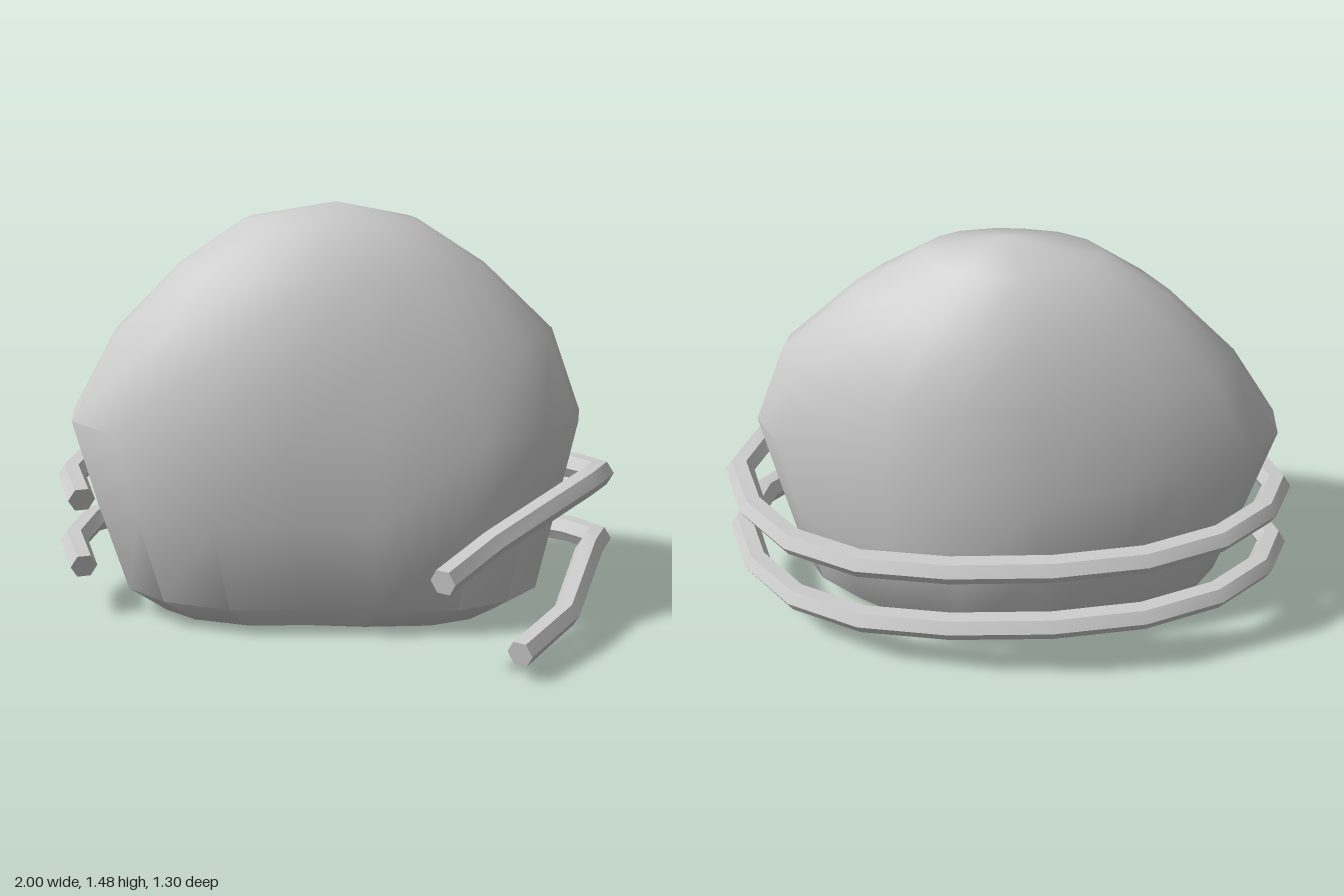
import * as THREE from 'three';
import { toCreasedNormals } from 'three/addons/utils/BufferGeometryUtils.js';

const grey = new THREE.MeshStandardMaterial({ color: 0xcccccc });
grey.name = 'light grey';

// Outline of the boulder in plan, scaled to -1..1 on each side of its axis
const outline = [
  [1, 0], [0.98, 0.38], [0.83, 0.74], [0.59, 0.96], [0.2, 1], [-0.12, 0.94], [-0.49, 0.95], [-0.81, 0.74],
  [-0.99, 0.4], [-1, 0], [-0.9, -0.32], [-0.68, -0.57], [-0.43, -0.77], [-0.15, -0.92],
  [0.2, -1], [0.48, -0.83], [0.7, -0.6], [0.9, -0.32],
];
// Levels: y, min x, max x, min z, max z
const levels = [
  [0, -0.62, 0.58, -0.4, 0.15],
  [0.1, -0.75, 0.73, -0.51, 0.26],
  [0.42, -0.85, 0.8, -0.58, 0.305],
  [0.72, -0.94, 0.87, -0.575, 0.31],
  [1.02, -0.78, 0.765, -0.52, 0.24],
  [1.26, -0.55, 0.52, -0.43, 0.16],
  [1.42, -0.32, 0.28, -0.285, 0.03],
];

// Skin closed rings of equal length, capping both ends with centre points
function skin(rings, first, last, creaseAngle) {
  const n = rings[0].length, index = [];
  const a = rings.length * n, end = a - n;
  for (let j = 0; j < n; j++) {
    const k = (j + 1) % n;
    index.push(a, j, k, a + 1, end + k, end + j);
    for (let p = 0; p < end; p += n) {
      index.push(p + j, p + n + j, p + k, p + k, p + n + j, p + n + k);
    }
  }
  const g = new THREE.BufferGeometry().setFromPoints([...rings.flat(), first, last]);
  g.setIndex(index);
  return toCreasedNormals(g, creaseAngle);
}

// Smooth boulder; the front hollow fades out towards the top
function makeBoulder() {
  const rings = levels.map(([y, x0, x1, z0, z1]) => {
    const cx = (x0 + x1) / 2, cz = (z0 + z1) / 2;
    const fade = 0.8 * THREE.MathUtils.clamp((y - 0.5) / 0.5, 0, 1);
    return outline.map(([u, v]) => {
      const round = v > 0 ? THREE.MathUtils.lerp(v, Math.sqrt(1 - u * u), fade) : v;
      return new THREE.Vector3(cx + u * (x1 - x0) / 2, y, cz + round * (z1 - z0) / 2);
    });
  });
  const g = skin(rings, new THREE.Vector3(-0.02, 0, -0.12), new THREE.Vector3(0, 1.48, -0.12), 0.74);
  const mesh = new THREE.Mesh(g, grey);
  mesh.name = 'boulder';
  return mesh;
}

// Shared sweep of both bands round the back, from the left side to the right
const wrap = [
  [0.95, 0.485, -0.12], [0.88, 0.455, -0.3], [0.72, 0.435, -0.455], [0.48, 0.435, -0.56], [0.17, 0.455, -0.608],
  [-0.18, 0.475, -0.608], [-0.49, 0.49, -0.56], [-0.74, 0.5, -0.45], [-0.9, 0.5, -0.29], [-0.952, 0.48, -0.12],
  [-0.9, 0.443, 0.05],
];

// Six-sided bar with mitred joints
function makeBand(name, tail, drop) {
  const path = [...tail, ...wrap].map(([x, y, z]) => new THREE.Vector3(x, y - drop, z));
  const up = new THREE.Vector3(0, 1, 0), r = 0.048;
  const rings = path.map((p, i) => {
    const before = p.clone().sub(path[Math.max(i - 1, 0)]).normalize();
    const after = path[Math.min(i + 1, path.length - 1)].clone().sub(p).normalize();
    const t = before.clone().add(after).normalize();
    const side = new THREE.Vector3().crossVectors(t, up).normalize();
    const top = new THREE.Vector3().crossVectors(side, t);
    const mitre = 1 / Math.max(t.dot(before), t.dot(after));
    return Array.from({ length: 6 }, (_, k) => {
      const a = k * Math.PI / 3;
      return p.clone().addScaledVector(side, Math.cos(a) * r * mitre).addScaledVector(top, Math.sin(a) * r);
    });
  });
  // Run the rings backwards so that the faces wind outward
  rings.forEach((ring) => ring.reverse());
  rings.reverse();
  const g = skin(rings.map((ring) => ring.reverse()), path[path.length - 1], path[0], 0.6);
  const mesh = new THREE.Mesh(orientOutward(g, path[path.length - 1], path[path.length - 2]), grey);
  mesh.name = name;
  return mesh;
}

// Flip the triangles if the end cap faces along the bar instead of away from it
function orientOutward(g, tip, inner) {
  const capNormal = new THREE.Vector3().fromBufferAttribute(g.attributes.normal, 0);
  if (capNormal.dot(tip.clone().sub(inner)) > 0) return g;
  const flipped = Array.from({ length: g.attributes.position.count }, (_, i) => i).reverse();
  g.setIndex(flipped);
  const { array } = g.attributes.normal;
  array.forEach((v, i) => { array[i] = -v; });
  return g;
}

export function createModel() {
  const group = new THREE.Group();
  group.name = 'bandedBoulder';
  group.add(
    makeBoulder(),
    makeBand('upperBand', [[0.35, 0.35, 0.62], [0.53, 0.385, 0.35], [0.88, 0.505, 0.05]], 0),
    makeBand('lowerBand', [[0.61, 0.345, 0.62], [0.79, 0.385, 0.36], [0.9, 0.505, 0.05]], 0.25),
  );
  return group;
}
